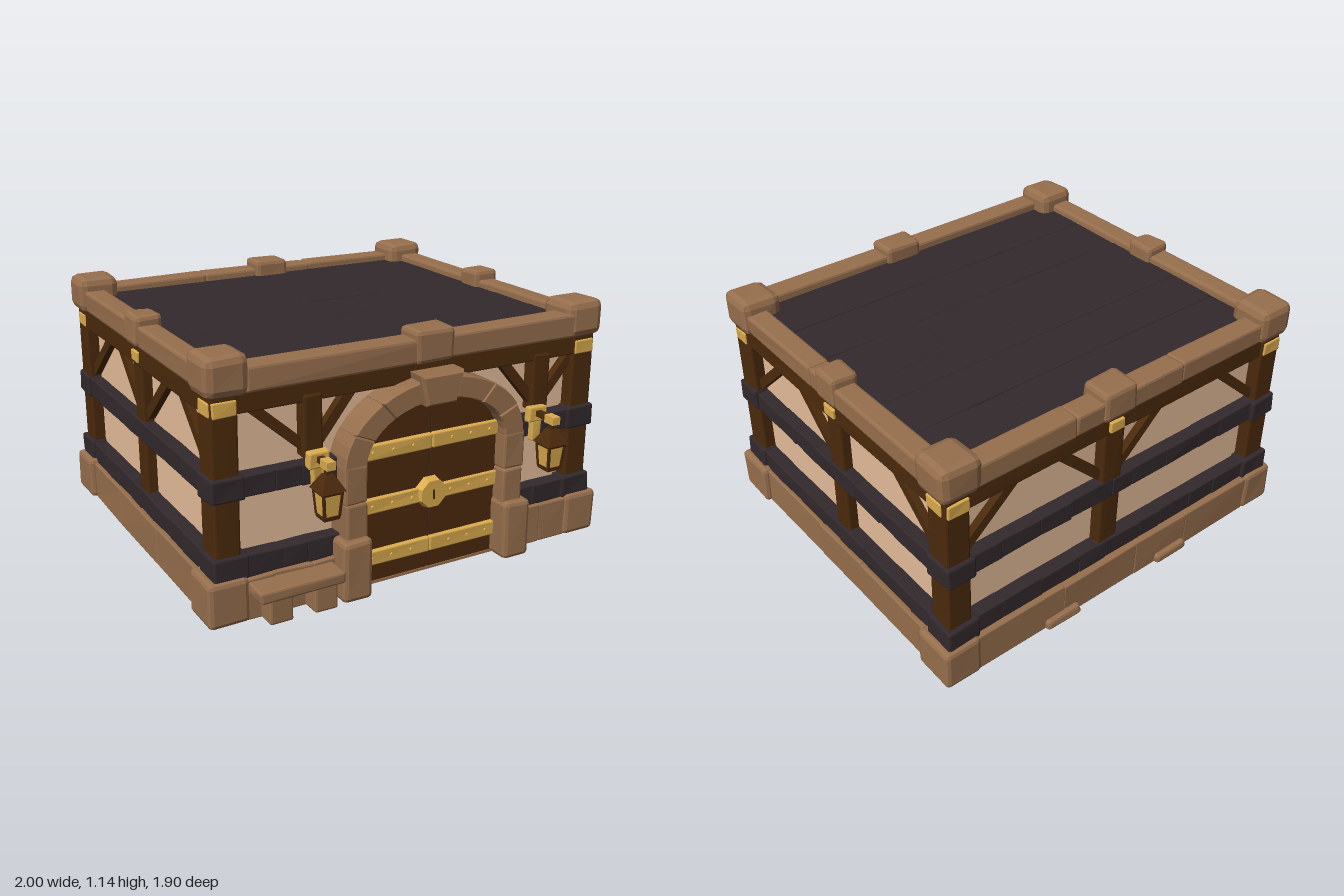
import * as THREE from 'three';
import { RoundedBoxGeometry } from 'three/addons/geometries/RoundedBoxGeometry.js';

const material = (name, color) => new THREE.MeshStandardMaterial({ name, color, flatShading: true });

export function createModel() {
  const stone = material('stone', 0x976f4d);
  const plaster = material('plaster', 0xe6bd9a);
  const wood = material('dark wood', 0x4b2a0c);
  const slate = material('slate', 0x32292c);
  const gold = material('gold', 0xdcac4e);

  const root = new THREE.Group();
  root.name = 'timberHouse';
  let parent = root;

  let seed = 11;
  const random = () => {
    seed = (seed * 16807) % 2147483647;
    return seed / 2147483647;
  };
  const add = (name, geometry, mat, x = 0, y = 0, z = 0) => {
    const mesh = new THREE.Mesh(geometry, mat);
    mesh.name = name;
    mesh.position.set(x, y, z);
    parent.add(mesh);
    return mesh;
  };

  // Chamfered box whose eight corners may be nudged for a hand-cut look
  function block(name, mat, [x0, x1], [y0, y1], [z0, z1], bevel = 0.01, wobble = 0.003) {
    const w = x1 - x0, h = y1 - y0, d = z1 - z0;
    const g = new RoundedBoxGeometry(w, h, d, 1, Math.min(bevel, w / 3, h / 3, d / 3));
    const nudge = Array.from({ length: 24 }, () => (random() * 2 - 1) * wobble);
    const p = g.attributes.position;
    for (let i = 0; i < p.count; i++) {
      const x = p.getX(i), y = p.getY(i), z = p.getZ(i);
      const c = 3 * ((x > 0 ? 1 : 0) + (y > 0 ? 2 : 0) + (z > 0 ? 4 : 0));
      const onGround = y0 === 0 && y < 0;
      p.setXYZ(i, x + nudge[c], y + (onGround ? 0 : nudge[c + 1]), z + nudge[c + 2]);
    }
    g.computeVertexNormals();
    return add(name, g, mat, (x0 + x1) / 2, (y0 + y1) / 2, (z0 + z1) / 2);
  }
  const plain = (name, mat, [x0, x1], [y0, y1], [z0, z1]) =>
    add(name, new THREE.BoxGeometry(x1 - x0, y1 - y0, z1 - z0), mat, (x0 + x1) / 2, (y0 + y1) / 2, (z0 + z1) / 2);

  // Row of blocks of uneven length along x or z
  function row(name, mat, axis, [from, to], n, ys, across, bevel = 0.006, wobble = 0.003) {
    const step = (to - from) / n;
    const cuts = Array.from({ length: n + 1 }, (_, i) =>
      from + i * step + (i > 0 && i < n ? (random() - 0.5) * step * 0.4 : 0));
    for (let i = 0; i < n; i++) {
      const span = [cuts[i] - 0.002, cuts[i + 1] + 0.002];
      if (axis === 'x') block(name, mat, span, ys, across, bevel, wobble);
      else block(name, mat, across, ys, span, bevel, wobble);
    }
  }

  // Slanted timber between two points
  function brace(a, b) {
    const from = new THREE.Vector3(...a), to = new THREE.Vector3(...b);
    const m = add('brace', new THREE.BoxGeometry(0.045, from.distanceTo(to), 0.045), wood);
    m.position.copy(from).add(to).multiplyScalar(0.5);
    m.quaternion.setFromUnitVectors(new THREE.Vector3(0, 1, 0), to.sub(from).normalize());
  }
  const mirrored = (s, a, b) => (s > 0 ? [a, b] : [-b, -a]);

  // Walls and foundation core
  plain('walls', plaster, [-0.895, 0.895], [0.15, 0.97], [-0.825, 0.7]);
  plain('foundation', stone, [-0.93, 0.93], [0, 0.15], [-0.88, 0.73]);
  plain('threshold', stone, [-0.3, 0.42], [0, 0.012], [0.7, 0.765]);

  // Corners: foundation block, post, band wraps, cap and gold plates
  for (const s of [-1, 1]) {
    for (const front of [true, false]) {
      const zs = (a, b) => (front ? [0.78 - b, 0.78 - a] : [-0.91 + a, -0.91 + b]);
      const xs = (a, b) => mirrored(s, a, b);
      block('cornerFoundation', stone, xs(0.82, 1), [0, 0.2], zs(-0.02, 0.19), 0.02);
      block('cornerPost', wood, xs(0.835, 0.953), [0.15, 1], zs(0.022, 0.145), 0.01);
      block('lowerBandCorner', slate, xs(0.81, 0.97), [0.185, 0.292], zs(0, 0.16));
      block('upperBandCorner', slate, xs(0.82, 0.965), [0.53, 0.637], zs(0.005, 0.15));
      block('cornerCap', stone, xs(0.785, 0.98), [0.967, 1.135], zs(-0.003, 0.193), 0.035);
      const cz = front ? 0.7 : -0.815;
      block('sidePlate', gold, xs(0.94, 0.958), [0.89, 0.95], [cz - 0.047, cz + 0.047], 0.005, 0.002);
      const face = front ? 0.757 : -0.887;
      block('endPlate', gold, xs(0.843, 0.945), [0.888, 0.952], [face - 0.01, face + 0.01], 0.005, 0.002);
    }
  }

  // Left and right walls
  for (const s of [-1, 1]) {
    const xs = (a, b) => mirrored(s, a, b);
    row('sideFoundation', stone, 'z', [-0.73, 0.6], 3, [0, 0.187], xs(0.88, 0.975));
    row('sideLowerBand', slate, 'z', [-0.76, 0.63], 8, [0.185, 0.283], xs(0.87, 0.957));
    row('sideUpperBand', slate, 'z', [-0.77, 0.63], 8, [0.533, 0.628], xs(0.87, 0.952));
    row('sideBeam', wood, 'z', [-0.78, 0.65], 2, [0.88, 0.985], xs(0.86, 0.945));
    row('sideParapet', stone, 'z', [-0.74, 0.61], 2, [0.975, 1.077], xs(0.855, 0.957), 0.012);
    block('sidePost', wood, xs(0.86, 0.942), [0.17, 0.95], [-0.122, -0.015]);
    block('sideCap', stone, xs(0.84, 0.97), [0.98, 1.12], [-0.14, 0.003], 0.02);
    block('sideMidPlate', gold, xs(0.935, 0.956), [0.902, 0.952], [-0.105, -0.028], 0.005, 0.002);
    const x = s * 0.905;
    brace([x, 0.66, 0.64], [x, 0.91, 0.37]);
    brace([x, 0.66, -0.02], [x, 0.91, 0.26]);
    brace([x, 0.66, -0.77], [x, 0.91, -0.47]);
    if (s < 0) brace([x, 0.66, -0.11], [x, 0.91, -0.37]);
  }

  // Back wall
  row('backFoundation', stone, 'x', [-0.83, 0.83], 4, [0, 0.187], [-0.92, -0.82]);
  for (const x of [-0.3, 0.37]) block('backFoundationStone', stone, [x - 0.1, x + 0.09], [0, 0.05], [-0.947, -0.85], 0.015);
  row('backLowerBand', slate, 'x', [-0.82, 0.82], 9, [0.185, 0.283], [-0.89, -0.8]);
  row('backUpperBand', slate, 'x', [-0.83, 0.83], 9, [0.533, 0.628], [-0.885, -0.8]);
  row('backBeam', wood, 'x', [-0.85, 0.85], 2, [0.88, 0.985], [-0.88, -0.79]);
  row('backParapet', stone, 'x', [-0.8, 0.8], 3, [0.975, 1.077], [-0.897, -0.788], 0.012);
  block('backPost', wood, [0.015, 0.125], [0.17, 0.95], [-0.88, -0.8]);
  block('backCap', stone, [-0.017, 0.162], [0.98, 1.118], [-0.91, -0.758], 0.02);
  block('backMidPlate', gold, [0.03, 0.11], [0.9, 0.95], [-0.894, -0.875], 0.005, 0.002);
  for (const [a, b] of [[-0.84, -0.56], [0.02, -0.24], [0.12, 0.38], [0.84, 0.56]])
    brace([a, 0.66, -0.838], [b, 0.91, -0.838]);

  // Front wall
  for (const [a, b, n] of [[-0.83, -0.38, 3], [0.51, 0.83, 2]]) {
    row('frontFoundation', stone, 'x', [a, b], n, [0, 0.187], [0.68, 0.785]);
    row('frontLowerBand', slate, 'x', [a, b], n, [0.185, 0.283], [0.68, 0.765]);
    row('frontUpperBand', slate, 'x', [a, b], n, [0.533, 0.628], [0.68, 0.757]);
  }
  row('frontBeam', wood, 'x', [-0.85, 0.85], 2, [0.887, 0.985], [0.66, 0.755]);
  row('frontParapet', stone, 'x', [-0.8, 0.83], 2, [0.975, 1.08], [0.665, 0.777], 0.012);
  block('frontCap', stone, [-0.032, 0.162], [0.97, 1.118], [0.648, 0.787], 0.02);
  for (const [a, b] of [[-0.53, -0.79], [-0.48, -0.3], [0.68, 0.88], [0.64, 0.44]])
    brace([a, 0.69, 0.715], [b, 0.92, 0.715]);

  // Arched doorway
  const cx = 0.065, springY = 0.59;
  const ring = (rx, ry, t) => new THREE.Vector2(cx + rx * Math.cos(t), springY + ry * Math.sin(t));
  const archStones = 7;
  for (let i = 0; i < archStones; i++) {
    const t0 = (Math.PI * i) / archStones, t1 = (Math.PI * (i + 1)) / archStones;
    const outer = 0.454 + random() * 0.01;
    const steps = [0, 1, 2, 3].map((k) => t0 + ((t1 - t0) * k) / 3);
    const shape = new THREE.Shape([
      ...steps.map((t) => ring(outer, 0.33, t)),
      ...steps.reverse().map((t) => ring(0.352, 0.232, t)),
    ]);
    add('archStone', new THREE.ExtrudeGeometry(shape, {
      depth: 0.14, bevelThickness: 0.01, bevelSize: 0.006, bevelOffset: -0.006, bevelSegments: 1,
    }), stone, 0, 0, 0.68);
  }
  const keyShape = new THREE.Shape([[-0.075, 0.805], [0.075, 0.805], [0.107, 0.94], [-0.107, 0.94]]
    .map(([x, y]) => new THREE.Vector2(cx + x, y)));
  add('keystone', new THREE.ExtrudeGeometry(keyShape, {
    depth: 0.15, bevelThickness: 0.015, bevelSize: 0.012, bevelOffset: -0.01, bevelSegments: 1,
  }), stone, 0, 0, 0.685);
  for (const s of [-1, 1]) {
    const xs = (a, b) => (s > 0 ? [cx + a, cx + b] : [cx - b, cx - a]);
    block('doorJamb', stone, xs(0.352, 0.455), [0.26, 0.43], [0.68, 0.835]);
    block('doorJamb', stone, xs(0.352, 0.46), [0.428, 0.6], [0.68, 0.83]);
    block('jambFoot', stone, xs(0.345, 0.484), [0, 0.277], [0.68, 0.87], 0.02);

    // Door leaf
    const leaf = new THREE.Shape();
    leaf.moveTo(cx + s * 0.003, 0.012);
    leaf.lineTo(cx + s * 0.36, 0.012);
    for (let i = 0; i <= 8; i++) {
      const t = (i / 8) * 1.56;
      leaf.lineTo(cx + s * 0.36 * Math.cos(t), springY + 0.24 * Math.sin(t));
    }
    leaf.lineTo(cx + s * 0.003, springY + 0.24);
    add('doorLeaf', new THREE.ExtrudeGeometry(leaf, { depth: 0.08, bevelEnabled: false }), wood, 0, 0, 0.68);

    // Hinge straps and studs
    for (const y of [0.13, 0.375, 0.62]) {
      block('doorStrap', gold, xs(0.002, 0.352), [y - 0.034, y + 0.034], [0.755, 0.78], 0.006, 0.002);
      for (const x of [0.1, 0.2, 0.3]) {
        const stud = add('stud', new THREE.CylinderGeometry(0.006, 0.009, 0.01, 6), gold, cx + s * x, y, 0.782);
        stud.rotation.x = Math.PI / 2;
      }
    }
  }
  plain('doorSeam', slate, [cx - 0.003, cx + 0.003], [0.012, 0.82], [0.7, 0.757]);
  const lock = add('lockPlate', new THREE.CylinderGeometry(0.066, 0.075, 0.04, 8), gold, cx, 0.38, 0.78);
  lock.rotation.set(Math.PI / 2, Math.PI / 8, 0);
  plain('keyhole', wood, [cx - 0.005, cx + 0.005], [0.355, 0.4], [0.798, 0.802]);

  // Stone bench
  block('benchSeat', stone, [-0.822, -0.43], [0.12, 0.174], [0.74, 0.902]);
  for (const x of [-0.77, -0.56]) block('benchLeg', stone, [x, x + 0.11], [0, 0.13], [0.74, 0.875]);

  // Hanging lanterns on short posts
  for (const [x, z] of [[-0.495, 0.86], [0.625, 0.89]]) {
    const postX = x < 0 ? x - 0.01 : x + 0.03;
    block('lanternPost', wood, [postX - 0.045, postX + 0.045], [0.65, 0.92], [0.68, 0.762]);
    const lantern = new THREE.Group();
    lantern.name = 'lantern';
    lantern.position.set(x, 0, 0);
    root.add(lantern);
    parent = lantern;
    block('wallPlate', gold, [-0.05, 0.05], [0.61, 0.682], [0.755, 0.795], 0.008);
    block('wallPlateTail', gold, [-0.025, 0.025], [0.52, 0.615], [0.755, 0.785], 0.006);
    plain('bracketArm', wood, [-0.015, 0.015], [0.64, 0.665], [0.76, z + 0.025]);
    plain('bracketTip', gold, [-0.02, 0.02], [0.634, 0.67], [z - 0.03, z + 0.03]);
    plain('hook', wood, [-0.01, 0.01], [0.59, 0.645], [z - 0.01, z + 0.01]);
    const square = (name, mat, top, bottom, h, y) => {
      const m = add(name, new THREE.CylinderGeometry(top * Math.SQRT2, bottom * Math.SQRT2, h, 4), mat, 0, y, z);
      m.rotation.y = Math.PI / 4;
    };
    square('lanternRoof', wood, 0.02, 0.056, 0.065, 0.577);
    square('lanternRim', wood, 0.05, 0.046, 0.014, 0.538);
    square('lanternGlass', gold, 0.042, 0.034, 0.1, 0.484);
    square('lanternBase', wood, 0.039, 0.036, 0.018, 0.428);
    for (const sx of [-1, 1]) for (const sz of [-1, 1]) {
      const bar = add('lanternBar', new THREE.BoxGeometry(0.011, 0.105, 0.011), wood, sx * 0.038, 0.484, z + sz * 0.038);
      bar.rotation.set(sz * 0.08, 0, -sx * 0.08);
    }
    parent = root;
  }

  // Slate roof: rows of large slabs separated by narrow seams
  plain('roofBed', slate, [-0.88, 0.88], [0.95, 1.034], [-0.82, 0.69]);
  const rowEdges = [-0.81, -0.54, -0.3, -0.14, 0.13, 0.4, 0.685];
  for (let r = 0; r < 6; r++) {
    row('roofSlab', slate, 'x', [-0.87, 0.87], 2 + ((r + 1) % 3), [1, 1.042], [rowEdges[r], rowEdges[r + 1]], 0.004, 0.002);
  }
  return root;
}
